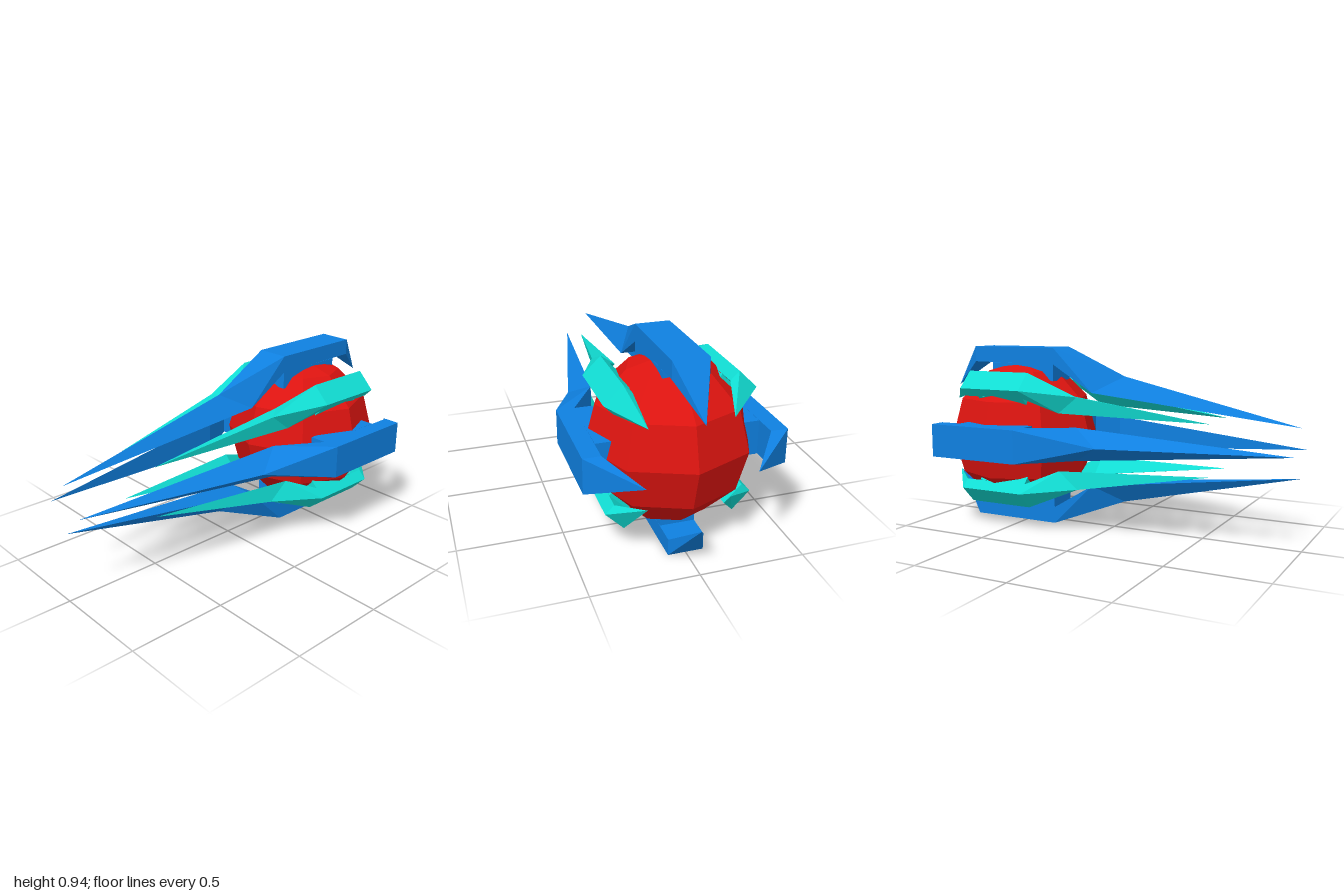
import * as THREE from 'three';

const mat = (color) => new THREE.MeshStandardMaterial({ color, flatShading: true });

// One claw: a long front spike, a square body and a hooked rear tip.
// y is the distance from the central axis, z runs to the front.
function clawGeometry() {
  const w = 0.085;
  const tip = [0, 0.12, 0.985], ridge = [0, 0.33, 0.06], hook = [0, 0.25, -1];
  const pair = (y, z) => [[-w, y, z], [w, y, z]];
  const inner = pair(0.245, -0.09), outer = pair(0.4725, -0.32), under = pair(0.385, -0.32);
  const rearOuter = pair(0.4725, -0.82), rearUnder = pair(0.39, -0.82);
  const pos = [];
  const tri = (a, b, c) => pos.push(...a, ...b, ...c);
  const quad = (a, b, c, d) => { tri(a, b, c); tri(a, c, d); };

  // Both flanks, the left one mirrored
  for (const s of [0, 1]) {
    const side = (a, b, c) => (s ? tri(a, b, c) : tri(a, c, b));
    side(tip, inner[s], ridge);
    side(ridge, inner[s], outer[s]);
    side(inner[s], under[s], outer[s]);
    side(under[s], rearUnder[s], rearOuter[s]);
    side(under[s], rearOuter[s], outer[s]);
    side(rearUnder[s], hook, rearOuter[s]);
  }
  // Outer faces
  tri(ridge, outer[1], outer[0]);
  quad(outer[0], outer[1], rearOuter[1], rearOuter[0]);
  tri(rearOuter[0], rearOuter[1], hook);
  // Faces towards the axis
  tri(tip, inner[0], inner[1]);
  quad(inner[0], under[0], under[1], inner[1]);
  quad(under[0], rearUnder[0], rearUnder[1], under[1]);
  tri(rearUnder[0], hook, rearUnder[1]);

  const geo = new THREE.BufferGeometry();
  geo.setAttribute('position', new THREE.Float32BufferAttribute(pos, 3));
  geo.computeVertexNormals();
  return geo;
}

export function createModel() {
  const model = new THREE.Group();
  model.name = 'clawedOrb';
  const centreY = 0.4725;

  // Faceted core
  const core = new THREE.Mesh(new THREE.SphereGeometry(0.4, 8, 6), mat(0xdd1410));
  core.name = 'core';
  core.position.set(0, centreY, -0.55);
  model.add(core);

  const clawGeo = clawGeometry();
  // Mount that joins a claw to the core
  const mountGeo = new THREE.BoxGeometry(0.17, 0.09, 0.385).translate(0, 0.342, -0.5125);
  const blue = mat(0x0f80e0), teal = mat(0x11ddd3);

  // Four large claws on the axes, four small ones on the diagonals
  for (let i = 0; i < 8; i++) {
    const small = i % 2 === 1;
    const material = small ? teal : blue;
    const claw = new THREE.Group();
    claw.name = small ? 'smallClaw' : 'largeClaw';
    const blade = new THREE.Mesh(clawGeo, material);
    blade.name = 'clawBlade';
    const mount = new THREE.Mesh(mountGeo, material);
    mount.name = 'clawMount';
    claw.add(blade, mount);
    if (small) {
      claw.scale.setScalar(0.72);
      claw.position.set(0, 0.096, -0.135);
    }
    const arm = new THREE.Group();
    arm.name = small ? 'smallArm' : 'largeArm';
    arm.position.y = centreY;
    arm.rotation.z = (i * Math.PI) / 4;
    arm.add(claw);
    model.add(arm);
  }
  return model;
}
